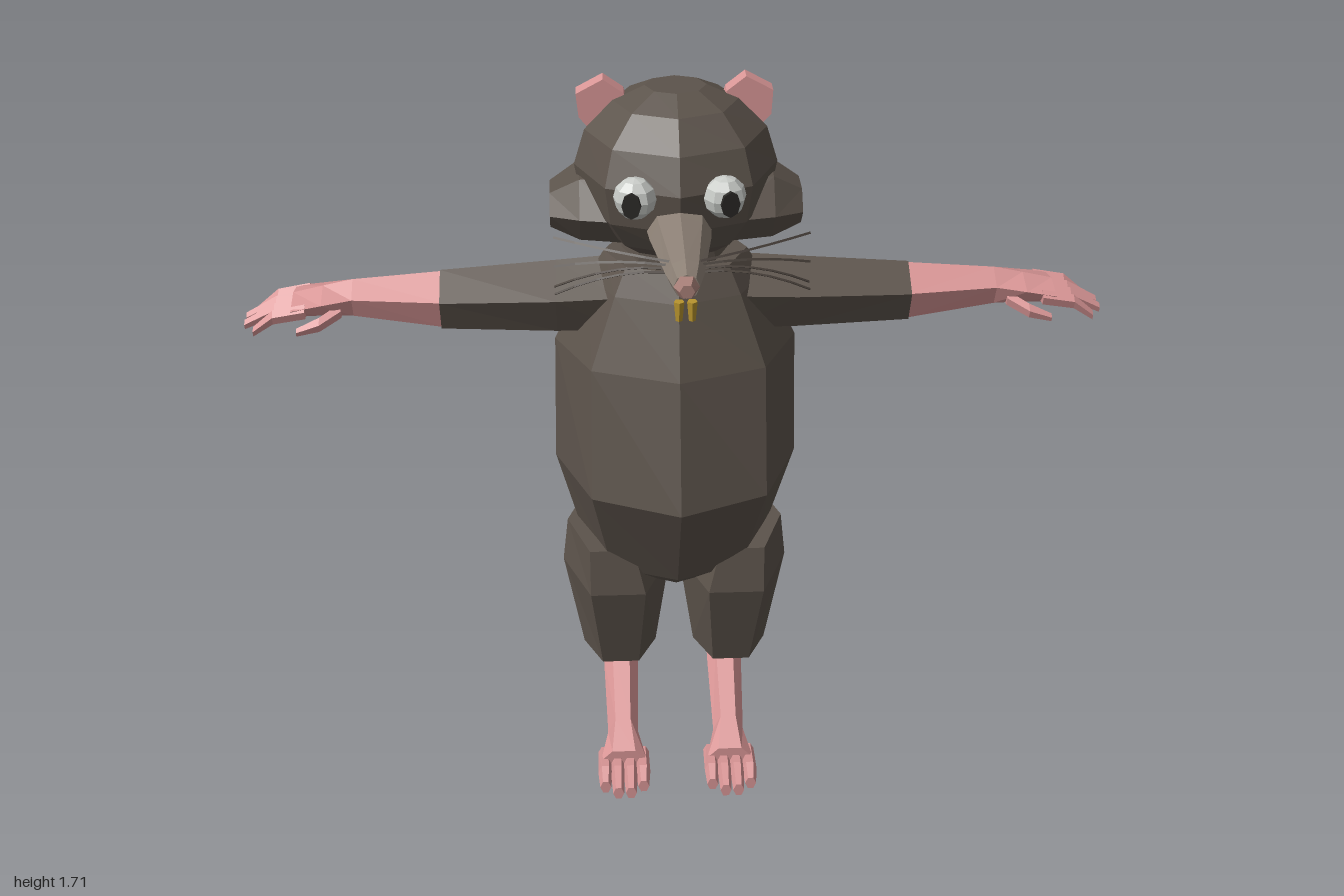
import * as THREE from 'three';

const mat = (name, color) => {
  const m = new THREE.MeshStandardMaterial({ color, flatShading: true });
  m.name = name;
  return m;
};

// Cross-section facing an axis: centre x, y, z, half sizes a and b, n corners, start angle
function ring(axis, x, y, z, a, b, n = 6, phase = 0) {
  const pts = [];
  for (let i = 0; i < n; i++) {
    const t = phase + (i / n) * Math.PI * 2;
    const c = a * Math.cos(t), s = b * Math.sin(t);
    if (axis === 'y') pts.push([x + c, y, z + s]);
    else if (axis === 'x') pts.push([x, y + s, z + c]);
    else pts.push([x + c, y + s, z]);
  }
  return pts;
}

// Closed faceted skin through the rings; winding is chosen from the signed volume
function loft(rings, side = 1) {
  const r = rings.map(q => q.map(p => new THREE.Vector3(p[0] * side, p[1], p[2])));
  const n = r[0].length, last = r.length - 1, tris = [];
  for (let k = 0; k < last; k++) {
    for (let i = 0; i < n; i++) {
      const j = (i + 1) % n;
      tris.push([r[k][i], r[k][j], r[k + 1][j]], [r[k][i], r[k + 1][j], r[k + 1][i]]);
    }
  }
  for (let i = 1; i < n - 1; i++) {
    tris.push([r[0][0], r[0][i + 1], r[0][i]], [r[last][0], r[last][i], r[last][i + 1]]);
  }
  const origin = r[0][0], u = new THREE.Vector3(), v = new THREE.Vector3(), w = new THREE.Vector3();
  let volume = 0;
  for (const [a, b, c] of tris) {
    u.subVectors(a, origin); v.subVectors(b, origin); w.subVectors(c, origin);
    volume += u.dot(v.cross(w));
  }
  const pos = [];
  for (const [a, b, c] of tris) {
    for (const p of volume < 0 ? [a, c, b] : [a, b, c]) pos.push(p.x, p.y, p.z);
  }
  const g = new THREE.BufferGeometry();
  g.setAttribute('position', new THREE.Float32BufferAttribute(pos, 3));
  g.computeVertexNormals();
  return g;
}

export function createModel() {
  const fur = mat('dark fur', 0x5c534b);
  const skin = mat('pink skin', 0xd99696);
  const muzzle = mat('taupe muzzle', 0x8c8075);
  const noseMat = mat('nose', 0xa88078);
  const white = mat('eye white', 0xc9ccc8);
  const black = mat('pupil black', 0x2a2826);
  const yellow = mat('tooth yellow', 0xb8942e);
  const whiskerMat = mat('whisker', 0x4a423c);

  const model = new THREE.Group();
  model.name = 'rat';
  const add = (name, geometry, material, parent = model) => {
    const m = new THREE.Mesh(geometry, material);
    m.name = name;
    parent.add(m);
    return m;
  };
  const rings = (axis, rows, n, phase) => rows.map(p => ring(axis, ...p, n, phase));

  // Torso, neck and head: eight-sided stacks
  add('torso', loft(rings('y', [
    [0, 0.515, 0.5, 0.12, 0.12], [0, 0.57, 0.495, 0.21, 0.195], [0, 0.83, 0.555, 0.27, 0.275],
    [0, 1.115, 0.53, 0.265, 0.222], [0, 1.27, 0.535, 0.19, 0.155], [0, 1.33, 0.535, 0.155, 0.125],
  ], 8)), fur);
  add('neck', loft(rings('y', [[0, 1.31, 0.52, 0.12, 0.11], [0, 1.37, 0.52, 0.11, 0.11]], 8)), fur);
  add('head', loft(rings('y', [
    [0, 1.34, 0.515, 0.1, 0.1], [0, 1.385, 0.53, 0.155, 0.15], [0, 1.45, 0.54, 0.2, 0.18],
    [0, 1.535, 0.542, 0.215, 0.19], [0, 1.61, 0.535, 0.192, 0.165], [0, 1.67, 0.525, 0.132, 0.115],
    [0, 1.7, 0.52, 0.065, 0.055],
  ], 8)), fur);

  // Long tapered snout with nose
  add('snout', loft(rings('z', [
    [0, 1.445, 0.66, 0.07, 0.06], [0, 1.447, 0.74, 0.063, 0.053],
    [0, 1.455, 0.92, 0.038, 0.035], [0, 1.456, 0.975, 0.026, 0.026],
  ], 8)), muzzle);
  add('nose', loft(rings('z', [
    [0, 1.456, 0.975, 0.026, 0.026], [0, 1.457, 1.0, 0.015, 0.016],
  ], 6)), noseMat);

  // Tail
  add('tail', loft(rings('z', [
    [0, 0.677, 0.34, 0.043, 0.065], [0, 0.705, -0.3, 0.026, 0.04],
    [0, 0.745, -0.97, 0.011, 0.016], [0, 0.747, -1.0, 0.006, 0.01],
  ], 4)), skin);

  for (const s of [1, -1]) {
    const label = s > 0 ? 'left' : 'right';
    const part = (name, rows, material, axis, n, phase) =>
      add(`${label} ${name}`, loft(rings(axis, rows, n, phase), s), material);

    // Cheek tuft
    part('cheek', [
      [0.1, 1.445, 0.53, 0.125, 0.085], [0.205, 1.445, 0.525, 0.11, 0.08], [0.268, 1.435, 0.52, 0.07, 0.045],
    ], fur, 'x', 6);

    // Ear
    const shape = new THREE.Shape([[-0.04, -0.065], [0.035, -0.065], [0.053, 0.01], [0.03, 0.058], [-0.035, 0.058], [-0.055, 0.01]]
      .map(p => new THREE.Vector2(...p)));
    const earGeo = new THREE.ExtrudeGeometry(shape, { depth: 0.04, bevelEnabled: false });
    const ear = add(`${label} ear`, earGeo, skin);
    ear.position.set(s * 0.15, 1.65, 0.485);
    ear.rotation.z = -s * 0.5;

    // Eye with iris plate
    const eye = new THREE.Group();
    eye.name = `${label} eye`;
    eye.position.set(s * 0.092, 1.53, 0.715);
    eye.rotation.y = s * 0.2;
    model.add(eye);
    const ball = add('eyeball', new THREE.SphereGeometry(0.045, 8, 6), white, eye);
    ball.scale.z = 0.9;
    const pupil = add('pupil', new THREE.CylinderGeometry(0.02, 0.02, 0.008, 8), black, eye);
    pupil.rotation.x = Math.PI / 2;
    pupil.scale.z = 1.4;
    pupil.position.z = 0.041;

    // Front tooth
    const tooth = add(`${label} tooth`, new THREE.CylinderGeometry(0.011, 0.007, 0.042, 5), yellow);
    tooth.position.set(s * 0.013, 1.387, 0.942);

    // Whiskers sweeping out and back
    for (const [i, [y, z]] of [[1.485, 0.8], [1.43, 0.82], [1.38, 0.81], [1.375, 0.835]].entries()) {
      const curve = new THREE.QuadraticBezierCurve3(
        new THREE.Vector3(s * 0.03, 1.475 - i * 0.012, 0.9 - i * 0.008),
        new THREE.Vector3(s * 0.14, 1.485 - i * 0.012, 0.875),
        new THREE.Vector3(s * 0.258, y, z));
      add(`${label} whisker`, new THREE.TubeGeometry(curve, 5, 0.0028, 3), whiskerMat);
    }

    // Arm: furry upper arm, bare forearm and palm
    const up = Math.PI / 2;
    part('upper arm', [
      [0.12, 1.232, 0.53, 0.105, 0.085], [0.26, 1.225, 0.527, 0.1, 0.079], [0.51, 1.219, 0.527, 0.077, 0.066],
    ], fur, 'x', 5, up);
    part('forearm', [
      [0.5, 1.219, 0.527, 0.074, 0.064], [0.7, 1.225, 0.525, 0.05, 0.041],
      [0.765, 1.222, 0.525, 0.062, 0.03], [0.83, 1.215, 0.525, 0.068, 0.022],
    ], skin, 'x', 5, up);
    for (let i = 0; i < 4; i++) {
      const z = 0.472 + i * 0.035, end = i === 0 || i === 3 ? 0.915 : 0.938;
      part('finger', [
        [0.8, 1.216, z, 0.017, 0.017], [0.87, 1.204, z, 0.016, 0.016], [end, 1.17, z, 0.011, 0.011],
      ], skin, 'x', 5, up);
    }
    part('thumb', [
      [0.725, 1.207, 0.555, 0.02, 0.017], [0.77, 1.19, 0.588, 0.018, 0.016], [0.82, 1.175, 0.595, 0.01, 0.009],
    ], skin, 'x', 5, up);

    // Leg: furry thigh, bare shin, long raised foot
    part('thigh', [
      [0.148, 0.635, 0.525, 0.1, 0.16], [0.135, 0.525, 0.523, 0.125, 0.18], [0.13, 0.293, 0.532, 0.085, 0.1],
    ], fur, 'y', 6);
    part('shin', [
      [0.128, 0.32, 0.545, 0.05, 0.075], [0.127, 0.205, 0.43, 0.048, 0.062], [0.127, 0.16, 0.395, 0.034, 0.034],
    ], skin, 'y', 6);
    part('foot', [
      [0.127, 0.182, 0.352, 0.026, 0.022], [0.127, 0.185, 0.38, 0.04, 0.035], [0.127, 0.173, 0.45, 0.042, 0.045],
      [0.127, 0.075, 0.61, 0.036, 0.046], [0.127, 0.045, 0.68, 0.055, 0.032],
    ], skin, 'z', 6);
    for (let i = 0; i < 4; i++) {
      const x = 0.127 + (i - 1.5) * 0.03, end = i === 0 || i === 3 ? 0.745 : 0.768;
      part('toe', [
        [x, 0.03, 0.63, 0.016, 0.018], [x, 0.034, 0.71, 0.017, 0.024], [x, 0.02, end, 0.013, 0.018],
      ], skin, 'z', 6);
    }
  }
  return model;
}
